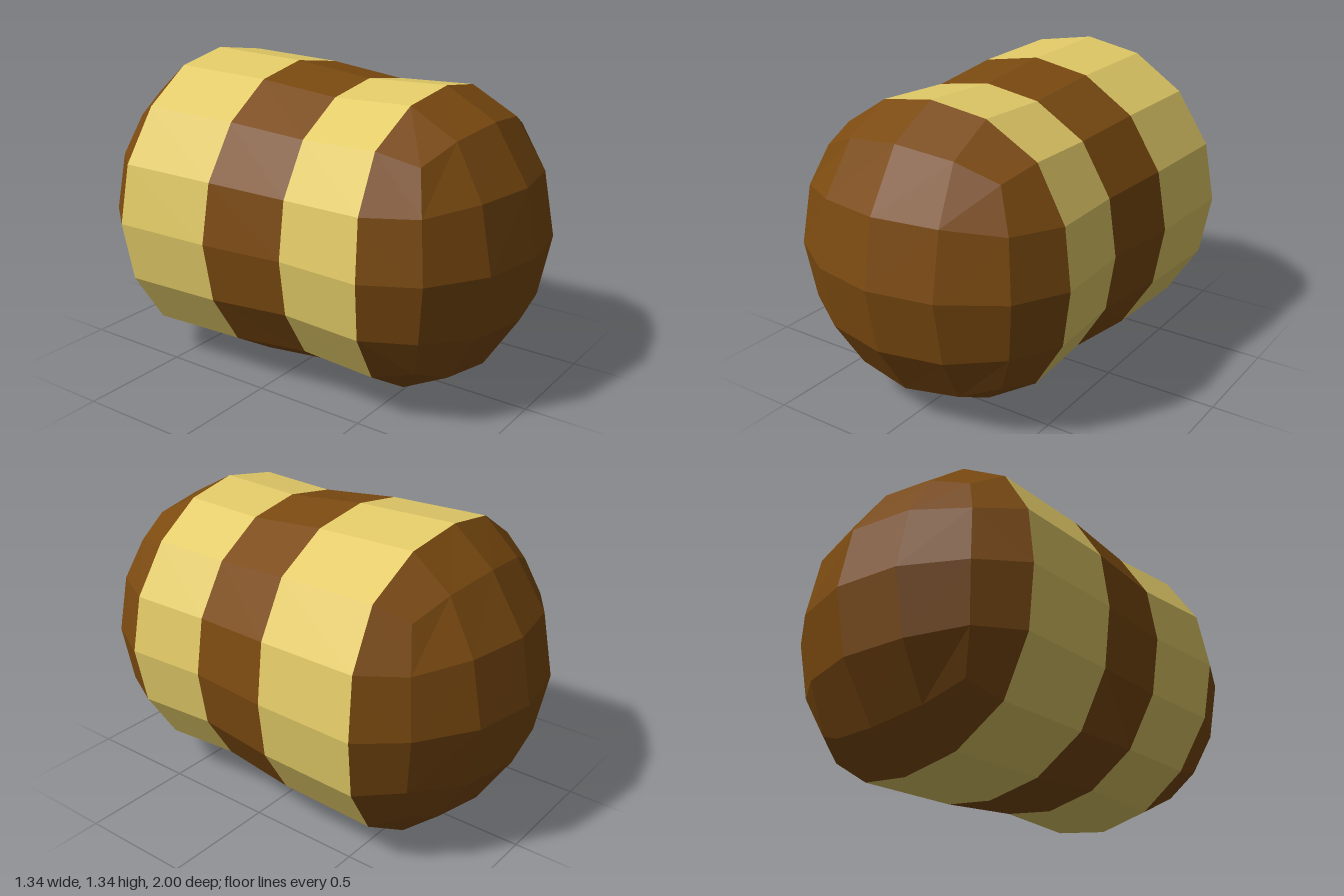
import * as THREE from 'three';

const SIDES = 16, CY = 0.675;

// Builds a faceted surface from quads, each turned to face away from the body's centre line
function quadMesh(name, quads, material) {
  const pos = [];
  for (let q of quads) {
    const mid = q.reduce((s, p) => s.add(p), new THREE.Vector3()).multiplyScalar(0.25);
    const n = q[2].clone().sub(q[0]).cross(q[3].clone().sub(q[1]));
    const core = new THREE.Vector3(0, CY, THREE.MathUtils.clamp(mid.z, -0.3, 0.3));
    if (n.dot(mid.sub(core)) < 0) q = [...q].reverse();
    for (const k of [0, 1, 2, 0, 2, 3]) pos.push(q[k].x, q[k].y, q[k].z);
  }
  const g = new THREE.BufferGeometry();
  g.setAttribute('position', new THREE.Float32BufferAttribute(pos, 3));
  g.computeVertexNormals();
  const mesh = new THREE.Mesh(g, material);
  mesh.name = name;
  return mesh;
}

// A slightly squared ring around the body; bend pulls its diagonals along z
function ring(z, radius, bend) {
  return Array.from({ length: SIDES }, (_, k) => {
    const a = k * Math.PI * 2 / SIDES, d = Math.sin(2 * a) ** 2;
    const r = radius + 0.02 * d;
    return new THREE.Vector3(r * Math.cos(a), CY + r * Math.sin(a), z + bend * d);
  });
}

function strip(a, b) {
  return a.map((p, k) => [p, a[(k + 1) % SIDES], b[(k + 1) % SIDES], b[k]]);
}

// Distance from the axis for grid column [i] at row [j] of a dome
const GRID = [[0, 0, 0], [0.28, 0.275, 0.25], [0.52, 0.49, 0.42]];

function domePoint(i, j, side) {
  const x = Math.sign(i) * GRID[Math.abs(i)][Math.abs(j)];
  const y = Math.sign(j) * GRID[Math.abs(j)][Math.abs(i)];
  const z = 0.3 + 0.7 * Math.sqrt(1 - (x * x + y * y) / (0.735 * 0.735));
  return new THREE.Vector3(x, CY + y, side * z);
}

// Dome: a 4 x 4 rounded grid joined to the end ring of the body
function dome(name, side, endRing, material) {
  const quads = [];
  for (let i = -2; i < 2; i++) for (let j = -2; j < 2; j++)
    quads.push([[i, j], [i + 1, j], [i + 1, j + 1], [i, j + 1]].map(([u, v]) => domePoint(u, v, side)));
  const step = t => Math.round(2 * THREE.MathUtils.clamp(Math.SQRT2 * t, -1, 1));
  const border = endRing.map((_, k) => {
    const a = k * Math.PI * 2 / SIDES;
    return domePoint(step(Math.cos(a)), step(Math.sin(a)), side);
  });
  quads.push(...strip(border, endRing));
  return quadMesh(name, quads, material);
}

export function createModel() {
  const brown = new THREE.MeshStandardMaterial({ color: 0x7b4a10 });
  brown.name = 'brown';
  const yellow = new THREE.MeshStandardMaterial({ color: 0xe3cb68 });
  yellow.name = 'pale yellow';
  brown.flatShading = yellow.flatShading = true;

  const rings = [
    ring(0.575, 0.638, -0.033),
    ring(0.205, 0.622, -0.005),
    ring(-0.162, 0.658, 0.018),
    ring(-0.618, 0.67, 0.033),
  ];

  const model = new THREE.Group();
  model.name = 'stripedCapsule';
  model.add(
    dome('frontDome', 1, rings[0], brown),
    quadMesh('frontBand', strip(rings[0], rings[1]), yellow),
    quadMesh('middleBand', strip(rings[1], rings[2]), brown),
    quadMesh('backBand', strip(rings[2], rings[3]), yellow),
    dome('backDome', -1, rings[3], brown),
  );
  return model;
}
